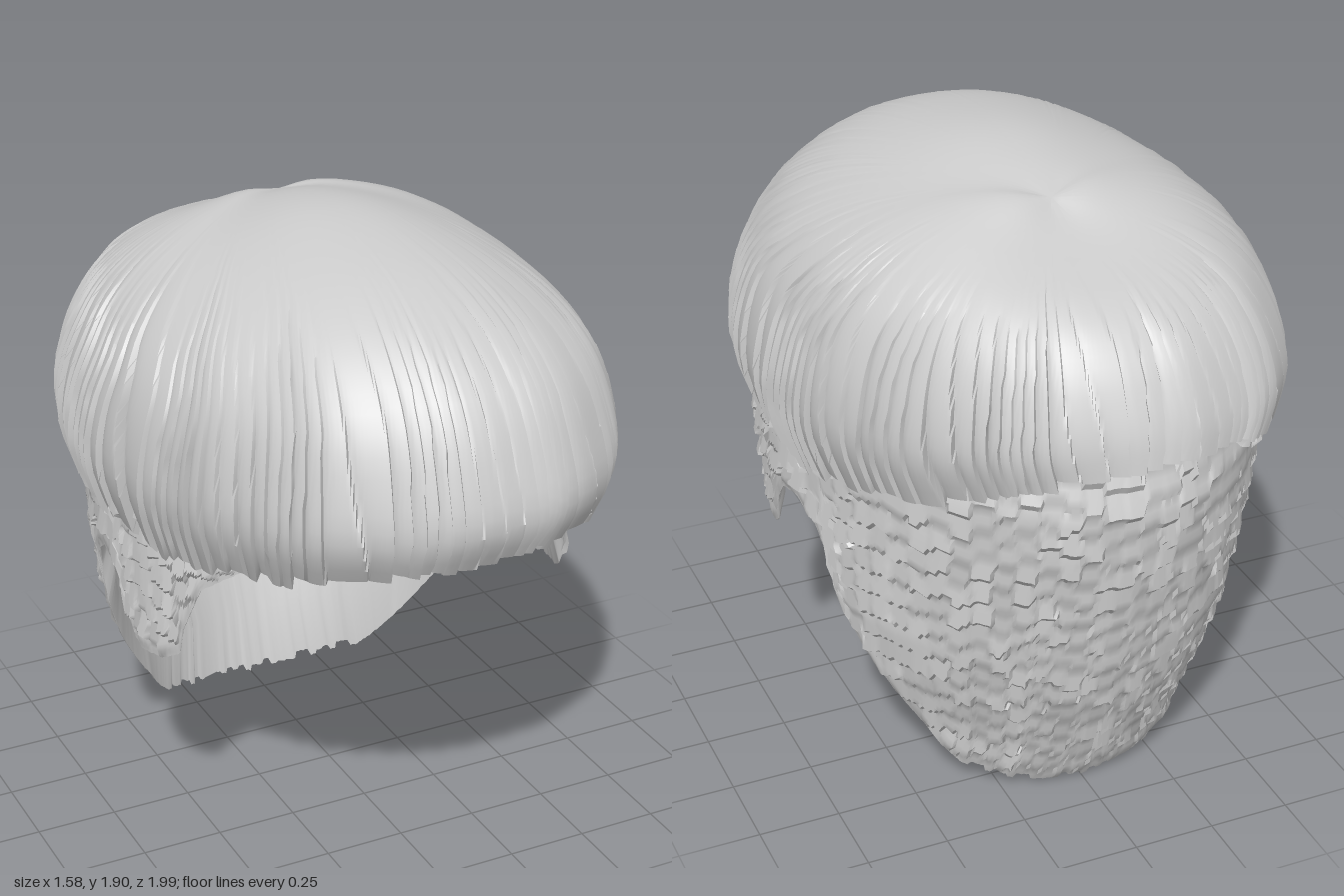
import * as THREE from 'three';
import { toCreasedNormals } from 'three/addons/utils/BufferGeometryUtils.js';

const { clamp, lerp, smoothstep } = THREE.MathUtils;
const hash = (a, b = 0) => {
  const s = Math.sin(a * 12.9898 + b * 78.233 + 4.1) * 43758.5453;
  return s - Math.floor(s);
};

// Piecewise linear lookup in [[x, y], ...]
function lookup(table, x) {
  if (x <= table[0][0]) return table[0][1];
  for (let i = 1; i < table.length; i++) {
    const [x0, y0] = table[i - 1], [x1, y1] = table[i];
    if (x <= x1) return lerp(y0, y1, (x - x0) / (x1 - x0));
  }
  return table[table.length - 1][1];
}

// Surface through a grid of points; columns run left to right, rows run down
function gridMesh(name, cols, rows, closed, pointAt, material) {
  const pos = [], index = [];
  for (let i = 0; i < cols; i++) {
    for (let j = 0; j < rows; j++) pos.push(...pointAt(i, j));
  }
  const last = closed ? cols : cols - 1;
  for (let i = 0; i < last; i++) {
    for (let j = 0; j < rows - 1; j++) {
      const a = i * rows + j, b = ((i + 1) % cols) * rows + j;
      index.push(a, a + 1, b, b, a + 1, b + 1);
    }
  }
  const geo = new THREE.BufferGeometry();
  geo.setAttribute('position', new THREE.Float32BufferAttribute(pos, 3));
  geo.setIndex(index);
  const mesh = new THREE.Mesh(toCreasedNormals(geo, 0.7), material);
  mesh.name = name;
  return mesh;
}

// Profiles from the crown to the rim: front and back as (z, y), side as (x, y, z)
const spline = (pts) => new THREE.CatmullRomCurve3(pts.map(([a, b, c = 0]) => new THREE.Vector3(a, b, c)));
const front = spline([[-0.35, 1.83], [-0.2, 1.875], [0.02, 1.9], [0.3, 1.87], [0.55, 1.81],
  [0.73, 1.72], [0.87, 1.58], [0.95, 1.4], [0.98, 1.25], [0.92, 1.12]]);
const back = spline([[-0.35, 1.83], [-0.43, 1.79], [-0.52, 1.755], [-0.63, 1.72], [-0.73, 1.685],
  [-0.82, 1.63], [-0.89, 1.55], [-0.94, 1.45], [-0.97, 1.36], [-0.985, 1.27]]);
const side = spline([[0, 1.83, -0.35], [0.12, 1.85, -0.3], [0.27, 1.83, -0.22], [0.42, 1.78, -0.15],
  [0.54, 1.71, -0.1], [0.64, 1.62, -0.05], [0.71, 1.52, 0], [0.76, 1.39, 0], [0.78, 1.23, 0], [0.72, 1.02, 0]]);

// Smooth bowl shape at angle a (0 = front) and distance t from the crown
function bowlPoint(a, t) {
  const s = Math.sin(a), c = Math.cos(a);
  const sideP = side.getPoint(t), endP = (c >= 0 ? front : back).getPoint(t);
  const square = (v) => Math.sign(v) * Math.abs(v) ** 0.93;
  return [
    sideP.x * square(s),
    lerp(sideP.y, endP.y, c * c),
    sideP.z + (endP.x - sideP.z) * Math.abs(square(c)),
  ];
}

// Bowl of overlapping locks with a smooth lining
function makeBowl(material) {
  const cols = 800, outer = 30, inner = 8, locks = 100;
  return gridMesh('bowlOfLocks', cols, outer + inner, true, (i, j) => {
    const a = (i / cols) * Math.PI * 2;
    if (j >= outer) {
      const t = 0.98 * (1 - (j - outer) / (inner - 1));
      const [x, y, z] = bowlPoint(a, t);
      return [x * 0.93, y - 0.05 * (1 - t), z * 0.93];
    }
    const t = j / (outer - 1);
    // Uneven lock widths that sway a little on the way down
    const u = (a / (Math.PI * 2)) * locks + 0.6 * Math.sin(7 * a) + 0.5 * Math.sin(13 * a + 3 * t);
    const k = ((Math.floor(u) % locks) + locks) % locks, f = u - Math.floor(u);
    const [x, y, z] = bowlPoint(a, t * (1 - 0.035 * hash(k, 2) * t));
    const depth = smoothstep(t, 0.15 + 0.3 * hash(k, 5), 0.95);
    const bump = depth * (0.014 + 0.024 * hash(k)) * (Math.sqrt(f) - 0.6);
    const r = Math.hypot(x, z) || 1;
    return [x + (x / r) * bump, y + bump * 0.4 * (1 - t), z + (z / r) * bump];
  }, material);
}

// Close-cropped layer: half width and back depth by height
const halfWidth = [[0, 0.6], [0.2, 0.58], [0.4, 0.64], [0.6, 0.69], [0.8, 0.71], [1, 0.725], [1.2, 0.74], [1.35, 0.73]];
const backDepth = [[0, -0.61], [0.2, -0.7], [0.4, -0.79], [0.6, -0.86], [0.8, -0.91], [1, -0.96], [1.15, -0.98], [1.35, -0.94]];
// Lower hairline by z: nape, ear notch, sideburn
const hairline = [[-0.62, 0], [-0.5, 0.08], [-0.42, 0.2], [-0.3, 0.45], [-0.25, 0.6], [-0.235, 0.75],
  [-0.2, 0.83], [-0.1, 0.89], [0, 0.87], [0.06, 0.8], [0.09, 0.7], [0.15, 0.66], [0.25, 0.67],
  [0.32, 0.71], [0.34, 0.8], [0.4, 0.95], [0.5, 1.04]];

function croppedPoint(phi, y, offset) {
  const c = Math.cos(phi), mid = 0.1;
  const depth = c > 0 ? mid - lookup(backDepth, y) : 0.55;
  return [-(lookup(halfWidth, y) + offset) * Math.sin(phi), y, mid - (depth + offset) * c];
}

function makeCropped(material) {
  const cols = 361, outer = 60, inner = 8, top = 1.35, reach = 2.35;
  const angle = (i) => lerp(-reach, reach, i / (cols - 1));
  const lows = Array.from({ length: cols }, (_, i) => {
    let y = top;
    while (y > 0 && y > lookup(hairline, croppedPoint(angle(i), y, 0)[2])) y -= 0.004;
    const nape = Math.abs(angle(i)) < 0.6 ? 0.025 * hash(Math.floor(i / 3)) : 0;
    return Math.max(0, y) + (i === (cols - 1) / 2 ? 0 : nape);
  });
  return gridMesh('croppedBackAndSideburns', cols, outer + inner, false, (i, j) => {
    const phi = angle(i), low = lows[i];
    if (j >= outer) {
      const y = lerp(low, top, (j - outer) / (inner - 1));
      const thin = 0.035 * clamp((y - low) / 0.1, 0, 1) * clamp((reach - Math.abs(phi)) / 0.15, 0, 1);
      return croppedPoint(phi, y, -thin);
    }
    const y = lerp(top, low, j / (outer - 1));
    // Staggered tufts, each lifting toward its lower tip
    const strip = Math.floor(phi * 13 + 100 + 0.12 * Math.sin(y * 30));
    const v = y / 0.085 + hash(strip, 7) * 0.9;
    const row = Math.floor(v);
    const lift = (1 - (v - row)) * (0.008 + 0.018 * hash(strip, row));
    return croppedPoint(phi, y, lift * clamp((y - low) / 0.04, 0.2, 1));
  }, material);
}

export function createModel() {
  const material = new THREE.MeshStandardMaterial({ color: 0xcccccc, side: THREE.DoubleSide });
  const group = new THREE.Group();
  group.name = 'bowlCutHair';
  group.add(makeBowl(material), makeCropped(material));
  return group;
}
